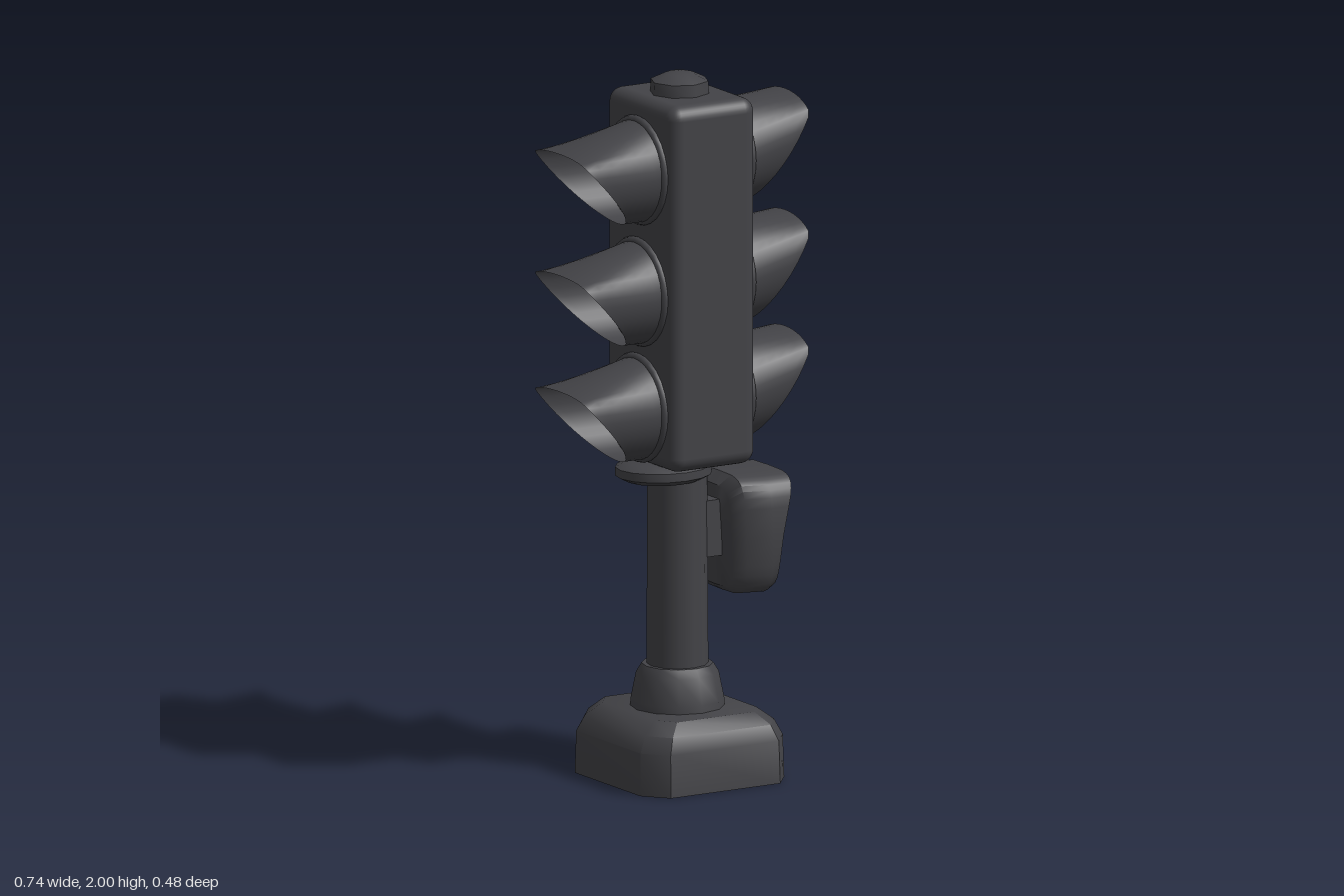
import * as THREE from 'three';
import { toCreasedNormals } from 'three/addons/utils/BufferGeometryUtils.js';
import { RoundedBoxGeometry } from 'three/addons/geometries/RoundedBoxGeometry.js';

const paint = (name, color, side = THREE.FrontSide) => {
  const m = new THREE.MeshStandardMaterial({ color, side });
  m.name = name;
  return m;
};

// Skin a list of closed rings (arrays of [x, y, z]) into one surface
function loft(rings, crease = 0.7) {
  const n = rings[0].length, index = [];
  for (let i = 0; i < rings.length - 1; i++) {
    for (let j = 0; j < n; j++) {
      const a = i * n + j, b = i * n + (j + 1) % n;
      index.push(a, b, a + n, b, b + n, a + n);
    }
  }
  const g = new THREE.BufferGeometry();
  g.setAttribute('position', new THREE.Float32BufferAttribute(rings.flat(2), 3));
  g.setIndex(index);
  return toCreasedNormals(g, crease);
}

const ring = (n, fn) => Array.from({ length: n }, (_, i) => fn((i / n) * Math.PI * 2));
const bulge = (v, p) => Math.sign(v) * Math.abs(v) ** p;

// Hood: a round mouth at x = 0 drawn out to a long upper lip and a short lower lip
function visorGeometry(reach, short, tipY, tipDrop) {
  const r = 0.145, knee = 0.3, rows = 6;
  return loft(Array.from({ length: rows + 1 }, (_, i) => {
    const k = i / rows;
    return ring(36, (a) => {
      const t = (1 - Math.cos(a)) / 2;
      const s = Math.max(0, (t - knee) / (1 - knee));
      const x = THREE.MathUtils.lerp(reach, short, s);
      const y = t < knee ? tipY - (tipDrop * t) / knee
        : THREE.MathUtils.lerp(tipY - tipDrop, -r, s);
      return [x * k, THREE.MathUtils.lerp(r * Math.cos(a), y, k), r * Math.sin(a)];
    });
  }), 1);
}

export function createModel() {
  const model = new THREE.Group();
  model.name = 'trafficLight';
  const dark = paint('dark grey', 0x434347);
  const hood = paint('dark grey hood', 0x434347, THREE.DoubleSide);
  const red = paint('red', 0x960f10);
  const amber = paint('amber', 0x936023);
  const green = paint('green', 0x25d529);
  const panelGreen = paint('deep green', 0x1f4a2c);
  const figureGreen = paint('signal green', 0x2fba45);

  const add = (name, geometry, material, x = 0, y = 0, z = 0, parent = model) => {
    const mesh = new THREE.Mesh(geometry, material);
    mesh.name = name;
    mesh.position.set(x, y, z);
    parent.add(mesh);
    return mesh;
  };
  const lathe = (pts, sides) => toCreasedNormals(
    new THREE.LatheGeometry(pts.map((p) => new THREE.Vector2(...p)), sides), 0.8);

  // Foot: block with cut corners and a sloping shoulder
  const corners = [[1, 0.71], [0.76, 1], [-0.76, 1], [-1, 0.71],
    [-1, -0.71], [-0.76, -1], [0.76, -1], [1, -0.71]];
  const footRows = [[0, 0, 0], [0, 0.235, 0.242], [0.12, 0.232, 0.238],
    [0.165, 0.21, 0.222], [0.2, 0.165, 0.19], [0.2, 0, 0]];
  add('foot', loft(footRows.map(([y, hx, hz]) =>
    corners.map(([x, z]) => [x * hx, y, -z * hz]))), dark, 0.022);

  // Collar, pole and top cap
  add('collar', lathe([[0.132, 0.19], [0.13, 0.22], [0.115, 0.295], [0.1, 0.32], [0, 0.32]], 12),
    dark, 0.015);
  add('pole', new THREE.CylinderGeometry(0.083, 0.086, 0.62, 12), dark, 0.015, 0.61);
  add('topCap', lathe([[0.085, 1.92], [0.082, 1.975], [0.04, 1.995], [0, 2]], 8), dark, 0.022);

  // Flange under the housing, set towards one side
  const flange = add('flange',
    lathe([[0, -0.027], [0.11, -0.027], [0.14, -0.012], [0.14, 0.012], [0.11, 0.027], [0, 0.027]], 16),
    dark, -0.03, 0.875);
  flange.scale.z = 0.86;

  // Signal housing
  add('housing', new RoundedBoxGeometry(0.28, 1.04, 0.36, 4, 0.04), dark, 0.028, 1.42);

  // Lamps with hoods on both faces
  const lamps = [
    { name: 'red', mat: red, y: 1.755, lensY: 1.735, r: 0.115, z: -0.018 },
    { name: 'amber', mat: amber, y: 1.41, lensY: 1.405, r: 0.125, z: 0 },
    { name: 'green', mat: green, y: 1.08, lensY: 1.08, r: 0.122, z: 0 },
  ];
  const sides = [
    { name: 'left', x: 0.165, turn: 0, dy: 0, geo: visorGeometry(0.2, 0.035, 0.155, 0.045) },
    { name: 'right', x: -0.11, turn: Math.PI, dy: -0.02, geo: visorGeometry(0.26, 0.07, 0.075, 0.015) },
  ];
  for (const side of sides) {
    for (const lamp of lamps) {
      const g = new THREE.Group();
      g.name = `${side.name} ${lamp.name} lamp`;
      g.position.set(side.x, lamp.y + side.dy, 0);
      g.rotation.y = side.turn;
      model.add(g);
      add('hood', side.geo, hood, 0, 0, 0, g);
      add('hoodRing', new THREE.TorusGeometry(0.143, 0.012, 8, 28), dark, 0.005, 0, 0, g)
        .rotation.y = Math.PI / 2;
      add('lens', new THREE.CylinderGeometry(lamp.r, lamp.r, 0.009, 12), lamp.mat,
        0.009, lamp.lensY - lamp.y, lamp.z, g).rotation.z = -Math.PI / 2;
    }
  }

  // Crossing signal: rounded box whose mouth leans out at the top
  const boxRows = [ // back-to-front: x at bottom, x at top, y bottom, y top, half width
    [0.125, 0.125, 0.68, 0.68, 0], [0.135, 0.12, 0.53, 0.82, 0.1],
    [0.16, 0.15, 0.51, 0.85, 0.135], [0.235, 0.23, 0.508, 0.848, 0.152],
    [0.25, 0.31, 0.52, 0.847, 0.157], [0.25, 0.305, 0.545, 0.825, 0.135],
    [0.228, 0.228, 0.55, 0.81, 0.12], [0.228, 0.228, 0.68, 0.68, 0],
  ];
  add('crossingBox', loft(boxRows.map(([xb, xt, yb, yt, h]) => ring(32, (a) => {
    const c = bulge(Math.cos(a), 0.45), s = bulge(Math.sin(a), 0.45);
    const u = (c + 1) / 2;
    return [xb + (xt - xb) * u * u, yb + (yt - yb) * u, h * s];
  })), 0.8), dark);
  add('crossingBracket', new THREE.BoxGeometry(0.08, 0.16, 0.1), dark, 0.11, 0.7);
  add('crossingPanel', new THREE.BoxGeometry(0.006, 0.235, 0.205), panelGreen, 0.23, 0.68);

  // Walking figure on the panel, drawn as (-z, y)
  const outline = [[-0.026, 0.78], [-0.03, 0.72], [-0.055, 0.66], [-0.03, 0.61], [-0.05, 0.57],
    [0.055, 0.575], [0.055, 0.705], [0.022, 0.735], [0.02, 0.78]];
  const figure = new THREE.Shape(outline.map((p) => new THREE.Vector2(...p)));
  add('walkingFigure', new THREE.ExtrudeGeometry(figure, { depth: 0.004, bevelEnabled: false }),
    figureGreen, 0.232).rotation.y = Math.PI / 2;

  return model;
}
